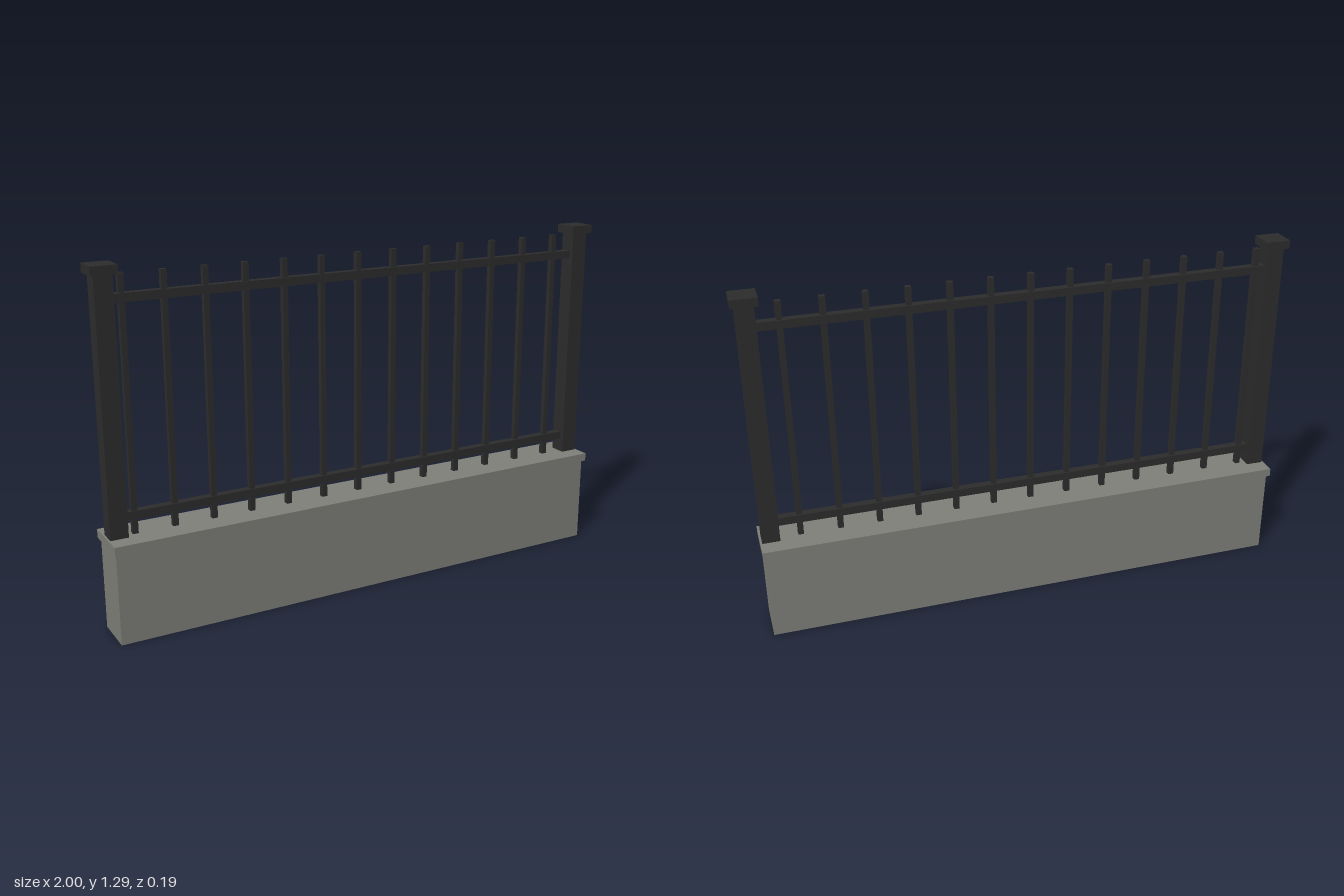
import * as THREE from 'three';

export function createModel() {
  const model = new THREE.Group();
  const stone = new THREE.MeshStandardMaterial({ color: 0x80817a });
  stone.name = 'grey stone';
  const iron = new THREE.MeshStandardMaterial({ color: 0x2d2d2d });
  iron.name = 'black iron';

  // Box given its width, depth, bottom and top heights, and x position
  function block(name, material, width, depth, bottom, top, x = 0) {
    const mesh = new THREE.Mesh(new THREE.BoxGeometry(width, top - bottom, depth), material);
    mesh.name = name;
    mesh.position.set(x, (bottom + top) / 2, 0);
    model.add(mesh);
  }

  // Low wall with its coping
  const wallTop = 0.364;
  block('wall', stone, 1.97, 0.16, 0, 0.333);
  block('coping', stone, 1.985, 0.19, 0.333, wallTop);

  // End posts with caps
  for (const side of [-1, 1]) {
    block('post', iron, 0.064, 0.064, wallTop, 1.256, side * 0.954);
    block('postCap', iron, 0.092, 0.092, 1.256, 1.287, side * 0.954);
  }

  // Horizontal rails between the posts
  block('lowerRail', iron, 1.844, 0.03, 0.417, 0.447);
  block('upperRail', iron, 1.844, 0.03, 1.159, 1.189);

  // Evenly spaced balusters, starting close to the right post
  for (let i = 0; i < 13; i++) {
    block('baluster', iron, 0.02, 0.02, wallTop, 1.254, -0.89 + i * 0.1446);
  }

  return model;
}
